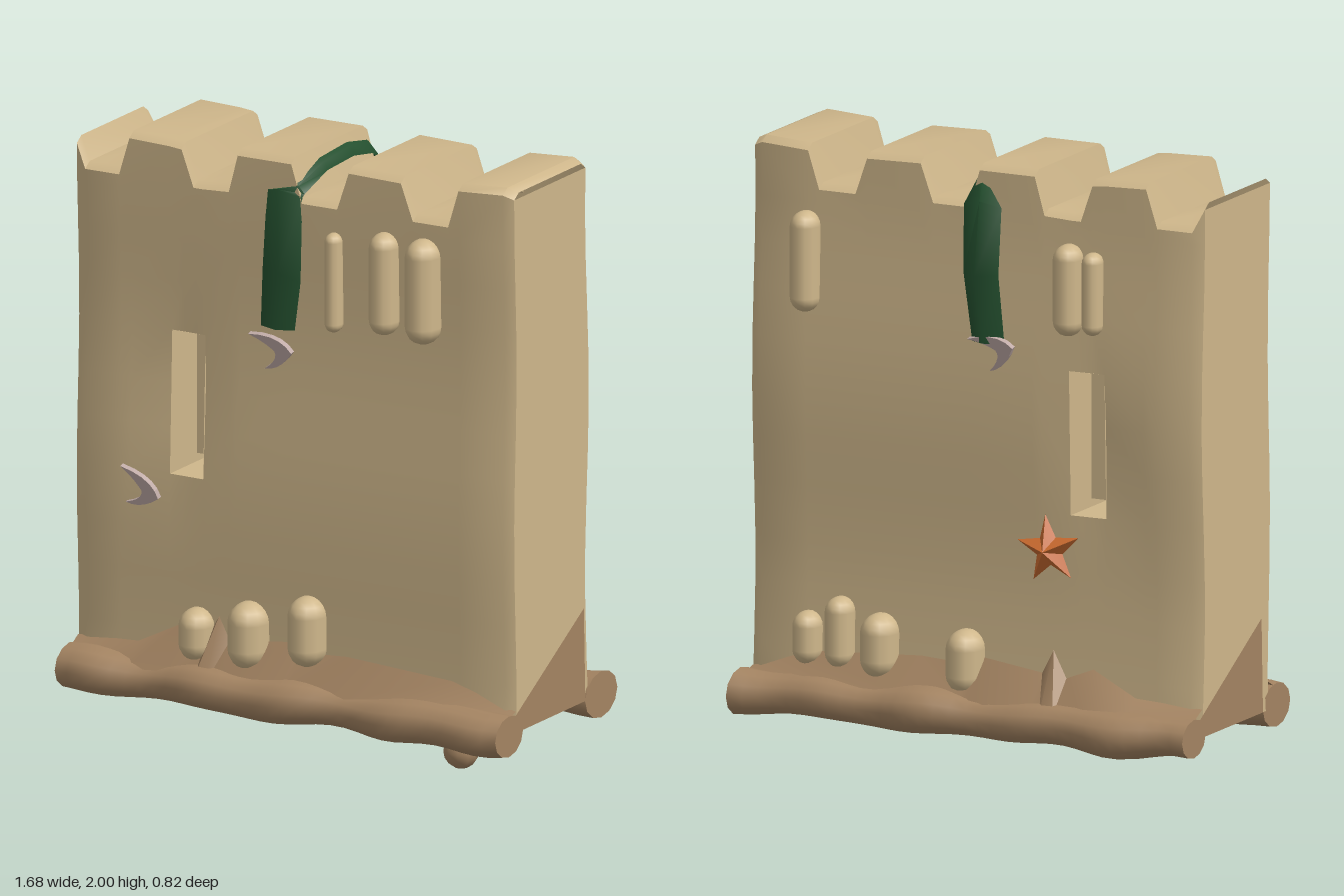
import * as THREE from 'three';
import { toCreasedNormals } from 'three/addons/utils/BufferGeometryUtils.js';

const D = THREE.DoubleSide;
const sand = new THREE.MeshStandardMaterial({ name: 'drySand', color: 0xcfb78b, side: D });
const wet = new THREE.MeshStandardMaterial({ name: 'wetSand', color: 0xa48462, side: D });
const green = new THREE.MeshStandardMaterial({ name: 'seaweedGreen', color: 0x24502f, side: D });
const orange = new THREE.MeshStandardMaterial({ name: 'starfishOrange', color: 0xcc6c30 });
const pink = new THREE.MeshStandardMaterial({ name: 'shellPink', color: 0xbfaaa6, side: D });

// Surface from a rule: fn(i, j) gives a point, keep(i, j) may leave out a cell
function grid(nu, nv, fn, { keep = () => true, flip = false, crease = 0.7 } = {}) {
  const pos = [], idx = [];
  for (let j = 0; j < nv; j++) for (let i = 0; i < nu; i++) pos.push(...fn(i, j));
  for (let j = 0; j < nv - 1; j++) for (let i = 0; i < nu - 1; i++) {
    if (!keep(i, j)) continue;
    const a = j * nu + i, b = a + 1, c = b + nu, d = a + nu;
    idx.push(...(flip ? [a, c, b, a, d, c] : [a, b, c, a, c, d]));
  }
  const g = new THREE.BufferGeometry();
  g.setAttribute('position', new THREE.Float32BufferAttribute(pos, 3));
  g.setIndex(idx);
  return toCreasedNormals(g, crease);
}

// Battlement outline, with the edges of the arrow slit as extra columns
const outline = [[-0.84, 1.94], [-0.8, 1.86], [-0.67, 1.86], [-0.63, 1.99], [-0.48, 1.985], [-0.43, 1.98],
  [-0.385, 1.855], [-0.35, 1.855], [-0.25, 1.86], [-0.215, 1.99], [-0.01, 1.99], [0.03, 1.86], [0.165, 1.86],
  [0.21, 1.99], [0.41, 1.985], [0.455, 1.86], [0.59, 1.86], [0.63, 1.99], [0.8, 2], [0.835, 1.985]];
const rows = [0.14, 0.3, 0.5, 0.65, 0.84, 1, 1.15, 1.33, 1.5, 1.65, 1.8];
const NX = outline.length, NY = rows.length + 1;
const SLIT = { x0: -0.48, x1: -0.35, y0: 0.84, y1: 1.33 };

// Depth of the uneven wall faces; s is 1 for the front and -1 for the back
function wallZ(x, y, s) {
  const dent = 0.025 * Math.exp(-(((x + 0.45) / 0.12) ** 2) - ((y - 1.08) / 0.25) ** 2);
  const edge = Math.abs(x) > 0.82 ? 0.015 : 0;
  const base = s > 0 ? 0.258 + 0.008 * Math.cos((y - 0.8) * 5.5) : 0.235 + 0.012 * Math.cos((y - 1.2) * 5);
  return s * (base - dent - edge);
}

function addWall(root) {
  const wall = new THREE.Group();
  wall.name = 'wall';
  root.add(wall);
  const add = (name, geo) => {
    const m = new THREE.Mesh(geo, sand);
    m.name = name;
    wall.add(m);
  };
  const yAt = (i, j) => (j < rows.length ? rows[j] : outline[i][1] - 0.02);
  const keep = (i, j) => !(outline[i][0] >= SLIT.x0 && outline[i + 1][0] <= SLIT.x1 &&
    rows[j] >= SLIT.y0 && rows[j + 1] <= SLIT.y1);
  for (const s of [1, -1]) {
    add(s > 0 ? 'frontFace' : 'backFace', grid(NX, NY, (i, j) => {
      const x = outline[i][0], y = yAt(i, j);
      return [x, y, wallZ(x, y, s)];
    }, { keep, flip: s < 0 }));
    // End faces
    const k = s > 0 ? NX - 1 : 0, x = outline[k][0];
    add(s > 0 ? 'leftEnd' : 'rightEnd', grid(2, NY, (i, j) => {
      const y = yAt(k, j);
      return [x, y, wallZ(x, y, i ? -1 : 1)];
    }, { flip: s < 0 }));
  }
  // Battlement tops with softened long edges
  add('battlementTop', grid(NX, 4, (i, j) => {
    const [x, y] = outline[i], s = j < 2 ? 1 : -1, rim = j === 0 || j === 3;
    return [x, y - (rim ? 0.02 : 0), wallZ(x, y - 0.02, s) - (rim ? 0 : s * 0.03)];
  }));
  // Arrow slit: four inner sides and a block that leaves a gap above and below
  const { x0, x1, y0, y1 } = SLIT;
  const ring = [[x0, y0], [x0, y1], [x1, y1], [x1, y0], [x0, y0]];
  add('slitSides', grid(5, 2, (i, j) => [...ring[i], wallZ(...ring[i], j ? 1 : -1)]));
  const block = new THREE.BoxGeometry(x1 - x0, 0.44, 0.16);
  block.translate((x0 + x1) / 2, 1.088, 0);
  add('slitBlock', block);
}

// Wavy roll of wet sand along the foot of one side
function addFoot(root, s) {
  const n = 36, m = 13;
  const roll = grid(m, n, (i, j) => {
    const k = Math.min(Math.max(j - 1, 0), n - 3);
    const x = -0.84 + (1.68 * k) / (n - 3);
    const w = Math.sin(x * 9 + (s > 0 ? 2.6 : 0)) * 0.013 + Math.sin(x * 17 + s) * 0.01;
    const r = j === 0 || j === n - 1 ? 0 : 1;
    const a = (i / (m - 1)) * Math.PI * 2;
    return [x, 0.142 + 0.006 * Math.sin(x * 14) + r * Math.sin(a) * (0.072 + w * 0.4),
      s * (0.295 + w * 0.5 + r * Math.cos(a) * (0.093 + w * 0.6))];
  }, { flip: s < 0, crease: 1 });
  const mesh = new THREE.Mesh(roll, wet);
  mesh.name = s > 0 ? 'frontFootRoll' : 'backFootRoll';
  root.add(mesh);
  // Damp slope climbing from the roll to the wall
  const crest = [[-0.84, 0.235], [-0.6, 0.25], [-0.44, 0.33], [-0.34, 0.29], [-0.29, 0.38], [-0.25, 0.3],
    [-0.02, 0.33], [0.02, 0.3], [0.2, 0.31], [0.6, 0.285], [0.835, 0.21]];
  const skirt = grid(crest.length, 2, (i, j) => {
    const [x, y] = crest[i];
    return j ? [x, y, wallZ(x, y, s) + s * 0.006] : [x, 0.18, s * 0.34];
  }, { flip: s < 0 });
  const slope = new THREE.Mesh(skirt, wet);
  slope.name = s > 0 ? 'frontDampSlope' : 'backDampSlope';
  root.add(slope);
  // Damp wedge on the end of the wall
  const wedge = new THREE.Shape([[-0.25, 0.14], [0.2, 0.14], [0.19, 0.46], [-0.25, 0.2]].map(p => new THREE.Vector2(...p)));
  const end = new THREE.Mesh(new THREE.ShapeGeometry(wedge), wet);
  end.name = s > 0 ? 'leftDampWedge' : 'rightDampWedge';
  end.rotation.y = (s * Math.PI) / 2;
  end.position.x = s * 0.841;
  root.add(end);
}

// Rounded drips of sand: x, bottom, top, radius, side
const drips = [[0.155, 1.42, 1.76, 0.03, 1], [0.35, 1.44, 1.79, 0.05, 1], [0.5, 1.43, 1.79, 0.06, 1],
  [-0.37, 0.22, 0.4, 0.06, 1], [-0.17, 0.22, 0.45, 0.07, 1], [0.055, 0.26, 0.5, 0.065, 1],
  [-0.35, 1.45, 1.76, 0.05, -1], [-0.44, 1.46, 1.74, 0.035, -1], [0.63, 1.43, 1.77, 0.05, -1],
  [0.62, 0.24, 0.42, 0.05, -1], [0.5, 0.24, 0.48, 0.05, -1], [0.35, 0.22, 0.44, 0.065, -1], [0.03, 0.2, 0.42, 0.065, -1]];

function addDrips(root) {
  for (const [x, y0, y1, r, s] of drips) {
    const drip = new THREE.Mesh(new THREE.CapsuleGeometry(r, y1 - y0 - 2 * r, 5, 12), sand);
    drip.name = 'sandDrip';
    drip.scale.z = 1.25;
    drip.position.set(x, (y0 + y1) / 2, wallZ(x, (y0 + y1) / 2, s) + s * 0.012);
    root.add(drip);
  }
}

// Seaweed ribbon: left, middle and right points of each section, front to back
function addSeaweed(root) {
  const sections = [
    [[-0.13, 1.4, 0.26], [-0.06, 1.4, 0.285], [0, 1.4, 0.26]],
    [[-0.12, 1.6, 0.265], [-0.04, 1.6, 0.3], [0.025, 1.57, 0.265]],
    [[-0.105, 1.87, 0.262], [-0.05, 1.885, 0.29], [0.03, 1.86, 0.262]],
    [[0.0, 1.92, 0.25], [0.018, 1.9, 0.265], [0.032, 1.87, 0.25]],
    [[0.0, 1.955, 0.1], [0.02, 1.945, 0.1], [0.03, 1.915, 0.1]],
    [[-0.005, 1.965, -0.08], [0.015, 1.955, -0.08], [0.025, 1.92, -0.08]],
    [[-0.01, 1.95, -0.2], [0.01, 1.94, -0.2], [0.025, 1.9, -0.2]],
    [[-0.11, 1.86, -0.262], [-0.04, 1.88, -0.285], [0.03, 1.86, -0.262]],
    [[-0.1, 1.63, -0.265], [-0.03, 1.63, -0.305], [0.03, 1.63, -0.265]],
    [[-0.12, 1.4, -0.26], [-0.05, 1.4, -0.285], [0, 1.4, -0.26]]];
  const weed = new THREE.Mesh(grid(3, sections.length, (i, j) => sections[j][i], { crease: 1.2 }), green);
  weed.name = 'seaweed';
  root.add(weed);
}

// Broken crescent shell
function addShell(root, x, y, z, turn, s) {
  const c = new THREE.Shape();
  c.moveTo(-0.08, 0.06);
  c.quadraticCurveTo(0.04, 0.075, 0.08, 0.01);
  c.quadraticCurveTo(0.03, -0.06, -0.03, -0.06);
  c.quadraticCurveTo(0.03, -0.02, 0.015, 0.01);
  c.quadraticCurveTo(-0.02, 0.04, -0.08, 0.06);
  const geo = new THREE.ExtrudeGeometry(c, { depth: 0.02, bevelEnabled: false, curveSegments: 5 });
  geo.rotateZ(turn).rotateX(0.2);
  const shell = new THREE.Mesh(geo, pink);
  shell.name = 'shell';
  shell.position.set(x, y, z);
  shell.rotation.y = s > 0 ? 0 : Math.PI;
  root.add(shell);
}

// Five-armed starfish on the back: a cone with every second rim point pulled in
function addStarfish(root) {
  const geo = new THREE.ConeGeometry(0.12, 0.05, 10, 1).rotateX(Math.PI / 2);
  const p = geo.attributes.position;
  for (let i = 0; i < p.count; i++) {
    const k = Math.round(Math.atan2(p.getX(i), p.getY(i)) / (Math.PI / 5));
    if (k % 2) p.setXY(i, p.getX(i) * 0.42, p.getY(i) * 0.42);
  }
  const star = new THREE.Mesh(toCreasedNormals(geo, 0.3), orange);
  star.name = 'starfish';
  star.position.set(-0.28, 0.72, -0.272);
  star.rotation.set(0, Math.PI, 0.12);
  root.add(star);
}

export function createModel() {
  const root = new THREE.Group();
  root.name = 'sandWall';
  addWall(root);
  addFoot(root, 1);
  addFoot(root, -1);
  // Underside between the rolls
  const under = new THREE.Mesh(new THREE.PlaneGeometry(1.67, 0.5).rotateX(Math.PI / 2), wet);
  under.name = 'underside';
  under.position.y = 0.138;
  root.add(under);
  // Clump hanging under the front roll
  const clump = new THREE.Mesh(new THREE.SphereGeometry(0.06, 10, 8), wet);
  clump.name = 'hangingClump';
  clump.position.set(0.65, 0.06, 0.28);
  root.add(clump);
  addDrips(root);
  addSeaweed(root);
  addShell(root, -0.08, 1.32, 0.262, 0, 1);
  addShell(root, -0.59, 0.775, 0.265, -0.35, 1);
  addShell(root, -0.08, 1.37, -0.25, 0.2, -1);
  addStarfish(root);
  return root;
}
